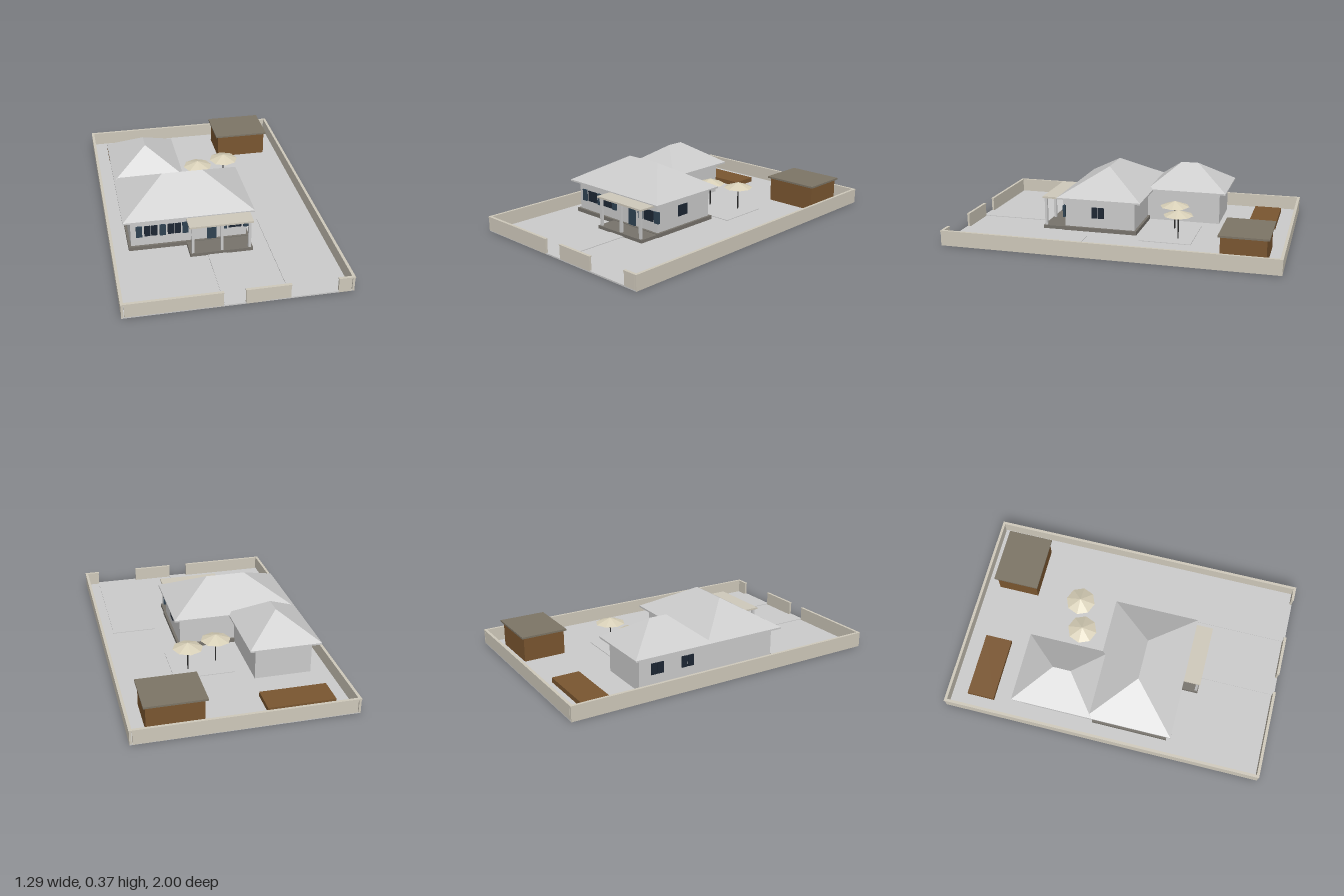
import * as THREE from 'three';

const material = (color) => new THREE.MeshStandardMaterial({ color, flatShading: true });
const grey = material(0xcccccc);
const stone = material(0xcfc9bb);
const plinthMat = material(0x77736c);
const timber = material(0x7a5630);
const shedRoofMat = material(0x7d7566);
const canopyMat = material(0xd8d0b8);
const glass = material(0x1c2633);
const shutterMat = material(0x2f4252);
const poleMat = material(0x2a2a2a);

export function createModel() {
  const model = new THREE.Group();
  model.name = 'walledHouse';

  const add = (name, geometry, mat, parent = model) => {
    const mesh = new THREE.Mesh(geometry, mat);
    mesh.name = name;
    parent.add(mesh);
    return mesh;
  };

  // Box given by its limits on each axis
  const box = (name, [x0, x1], [y0, y1], [z0, z1], mat = grey, parent = model) => {
    const mesh = add(name, new THREE.BoxGeometry(x1 - x0, y1 - y0, z1 - z0), mat, parent);
    mesh.position.set((x0 + x1) / 2, (y0 + y1) / 2, (z0 + z1) / 2);
    return mesh;
  };

  // Hip roof: a box whose top is drawn in to a ridge, on a thin eave board
  const hipRoof = (name, xs, zs, ridgeX, ridgeZ, top) => {
    const eave = 0.217;
    const group = new THREE.Group();
    group.name = name;
    model.add(group);
    const geometry = new THREE.BoxGeometry(1, 1, 1);
    const p = geometry.attributes.position;
    for (let i = 0; i < p.count; i++) {
      const upper = p.getY(i) > 0;
      const x = (upper ? ridgeX : xs)[p.getX(i) > 0 ? 1 : 0];
      const z = (upper ? ridgeZ : zs)[p.getZ(i) > 0 ? 1 : 0];
      p.setXYZ(i, x, upper ? top : eave, z);
    }
    const flat = geometry.toNonIndexed();
    flat.computeVertexNormals();
    add('roofSlopes', flat, grey, group);
    box('eaveBoard', xs, [eave - 0.01, eave], zs, grey, group);
  };

  // Window centred on the group's origin, facing +z
  const windowUnit = (name, x, z, turn = 0, shutters = []) => {
    const group = new THREE.Group();
    group.name = name;
    group.position.set(x, 0.126, z);
    group.rotation.y = turn;
    for (const s of [-1, 1]) {
      const c = s * 0.0205;
      box('pane', [c - 0.0185, c + 0.0185], [-0.034, 0.034], [-0.005, 0.006], glass, group);
    }
    for (const c of shutters) {
      box('shutter', [c - 0.018, c + 0.018], [-0.036, 0.036], [-0.005, 0.01], shutterMat, group);
    }
    model.add(group);
  };

  // Ground and paving
  box('ground', [-0.64, 0.64], [0, 0.006], [-0.998, 0.998]);
  box('footpath', [-0.085, 0.03], [0.004, 0.01], [0.5, 1]);
  box('driveway', [0.285, 0.555], [0.004, 0.01], [0.21, 1]);
  box('patio', [-0.08, 0.285], [0.004, 0.01], [-0.43, -0.115]);

  // Boundary walls with caps, leaving two gateways in front
  const wall = (name, [x0, x1], [z0, z1]) => {
    box(name, [x0 + 0.002, x1 - 0.002], [0, 0.084], [z0 + 0.002, z1 - 0.002], stone);
    box(name + 'Cap', [x0, x1], [0.084, 0.092], [z0, z1], stone);
  };
  wall('rightWall', [-0.645, -0.628], [-1, 1]);
  wall('leftWall', [0.628, 0.645], [-1, 1]);
  wall('backWall', [-0.628, 0.628], [-1, -0.983]);
  for (const xs of [[-0.628, -0.09], [0.03, 0.285], [0.55, 0.628]]) {
    wall('frontWall', xs, [0.983, 1]);
  }

  // Main house
  box('mainPlinth', [-0.535, 0.19], [0.004, 0.03], [-0.075, 0.4], plinthMat);
  box('mainWalls', [-0.52, 0.175], [0.004, 0.21], [-0.06, 0.385]);
  hipRoof('mainRoof', [-0.565, 0.215], [-0.105, 0.425], [-0.295, -0.05], [0.16, 0.16], 0.372);

  // Rear wing
  box('wingWalls', [-0.52, -0.175], [0.004, 0.21], [-0.527, -0.05]);
  hipRoof('wingRoof', [-0.565, -0.13], [-0.57, -0.065], [-0.345, -0.345], [-0.355, -0.245], 0.358);

  // Porch
  box('porchFloor', [-0.19, 0.185], [0.004, 0.026], [0.38, 0.525], plinthMat);
  box('porchRoof', [-0.195, 0.185], [0.2, 0.211], [0.38, 0.528], stone);
  for (const x of [-0.172, 0, 0.165]) {
    box('porchColumn', [x - 0.008, x + 0.008], [0.01, 0.2], [0.503, 0.519]);
  }

  // Door and windows
  box('frontDoor', [-0.066, -0.009], [0.03, 0.162], [0.38, 0.393], shutterMat);
  windowUnit('frontWindow', -0.4, 0.385, 0, [-0.07, 0.07]);
  windowUnit('frontWindow', -0.261, 0.385, 0, [0.066]);
  windowUnit('frontWindow', 0.105, 0.385, 0, [-0.068, 0.068]);
  windowUnit('sideWindow', 0.175, 0.172, Math.PI / 2);
  for (const z of [-0.41, -0.21]) windowUnit('wingWindow', -0.52, z, -Math.PI / 2);

  // Shed and raised deck
  box('shedWalls', [0.213, 0.54], [0.003, 0.157], [-0.902, -0.642], timber);
  box('shedRoof', [0.198, 0.553], [0.157, 0.168], [-0.917, -0.63], shedRoofMat);
  box('raisedDeck', [-0.545, -0.145], [0.003, 0.035], [-0.885, -0.715], timber);

  // Parasols
  for (const [x, z] of [[0, -0.275], [0.185, -0.335]]) {
    const parasol = new THREE.Group();
    parasol.name = 'parasol';
    parasol.position.set(x, 0, z);
    const canopyShape = new THREE.ConeGeometry(0.092, 0.034, 8);
    add('canopy', canopyShape, canopyMat, parasol).position.y = 0.172;
    add('pole', new THREE.CylinderGeometry(0.004, 0.004, 0.165, 8), poleMat, parasol).position.y = 0.09;
    model.add(parasol);
  }

  return model;
}
